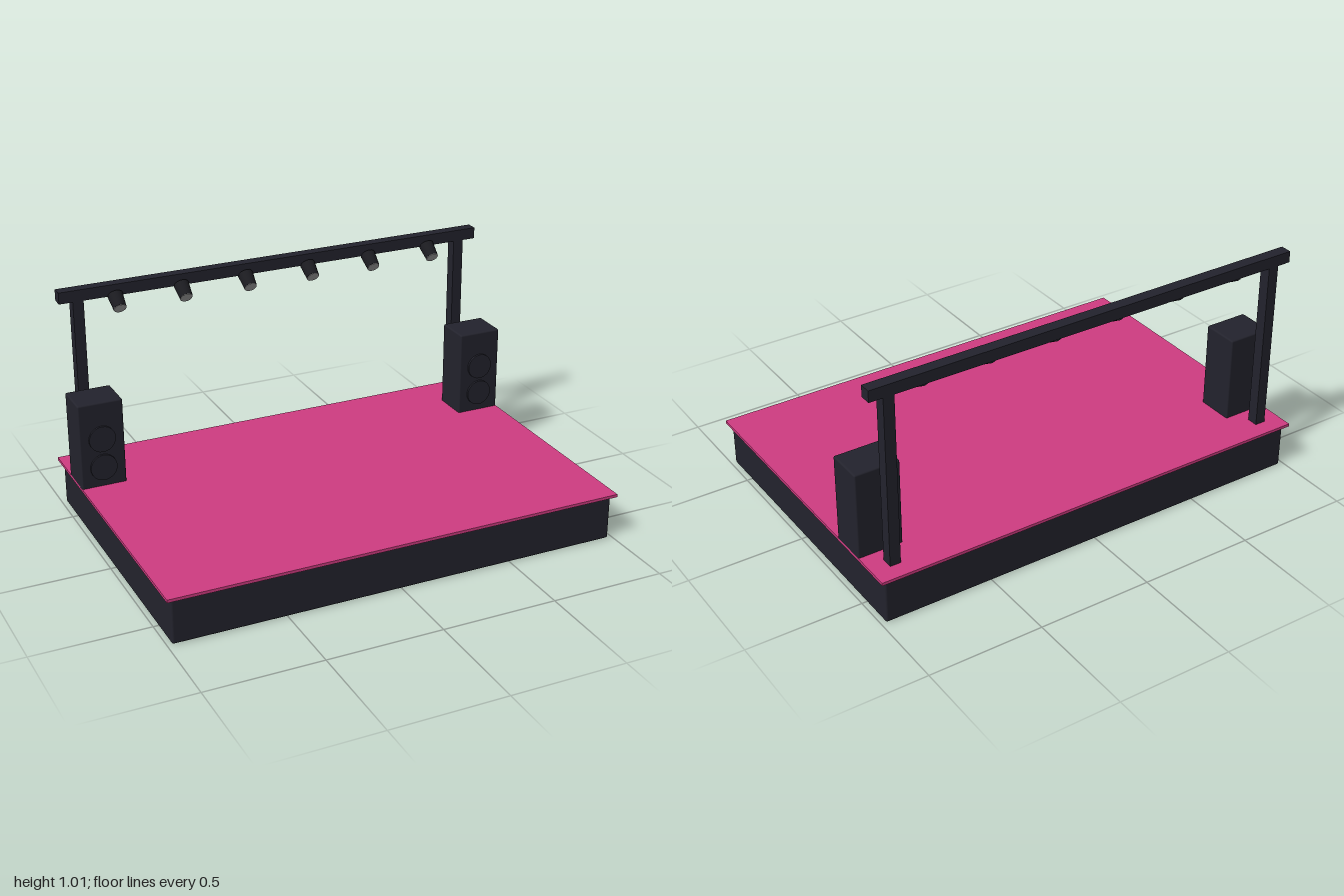
import * as THREE from 'three';
import { RoundedBoxGeometry } from 'three/addons/geometries/RoundedBoxGeometry.js';

export function createModel() {
  const mat = (name, color) => {
    const m = new THREE.MeshStandardMaterial({ color });
    m.name = name;
    return m;
  };
  const dark = mat('charcoal', 0x23232d);
  const black = mat('lamp black', 0x1b1b20);
  const pink = mat('deck pink', 0xd03c82);
  const grey = mat('lens grey', 0xa6a6a6);

  const stage = new THREE.Group();
  stage.name = 'concertStage';

  const add = (parent, name, geometry, material, x, y, z) => {
    const mesh = new THREE.Mesh(geometry, material);
    mesh.name = name;
    mesh.position.set(x, y, z);
    parent.add(mesh);
    return mesh;
  };

  // Platform and overhanging deck
  add(stage, 'platform', new RoundedBoxGeometry(1.96, 0.198, 1.31, 2, 0.01), dark, 0, 0.099, 0);
  add(stage, 'deck', new THREE.BoxGeometry(2, 0.013, 1.345), pink, 0, 0.2035, 0);

  // Lighting truss
  add(stage, 'beam', new THREE.BoxGeometry(1.965, 0.05, 0.05), dark, 0, 0.985, -0.575);
  for (const s of [-1, 1]) {
    add(stage, 'post', new THREE.BoxGeometry(0.047, 0.75, 0.05), dark, s * 0.9, 0.585, -0.575);

    // Loudspeaker with two raised round cones
    const speaker = new THREE.Group();
    speaker.name = 'loudspeaker';
    speaker.position.set(s * 0.902, 0, -0.41);
    add(speaker, 'cabinet', new RoundedBoxGeometry(0.196, 0.39, 0.163, 2, 0.007), dark, 0, 0.395, 0);
    for (const y of [0.297, 0.427]) {
      const cone = add(speaker, 'speakerCone', new THREE.CylinderGeometry(0.058, 0.058, 0.02, 24), dark, 0, y, 0.081);
      cone.rotation.x = Math.PI / 2;
    }
    stage.add(speaker);
  }

  // Row of spotlights aimed forward and down; local -y is the lens end
  for (let i = 0; i < 6; i++) {
    const lamp = new THREE.Group();
    lamp.name = 'spotlight';
    lamp.position.set(-0.7375 + i * 0.295, 0.942, -0.526);
    lamp.rotation.x = -THREE.MathUtils.degToRad(55);
    add(lamp, 'lampBody', new THREE.CylinderGeometry(0.033, 0.028, 0.07, 16), black, 0, 0, 0);
    add(lamp, 'lens', new THREE.CylinderGeometry(0.027, 0.027, 0.004, 16), grey, 0, -0.035, 0);
    stage.add(lamp);
  }
  return stage;
}
